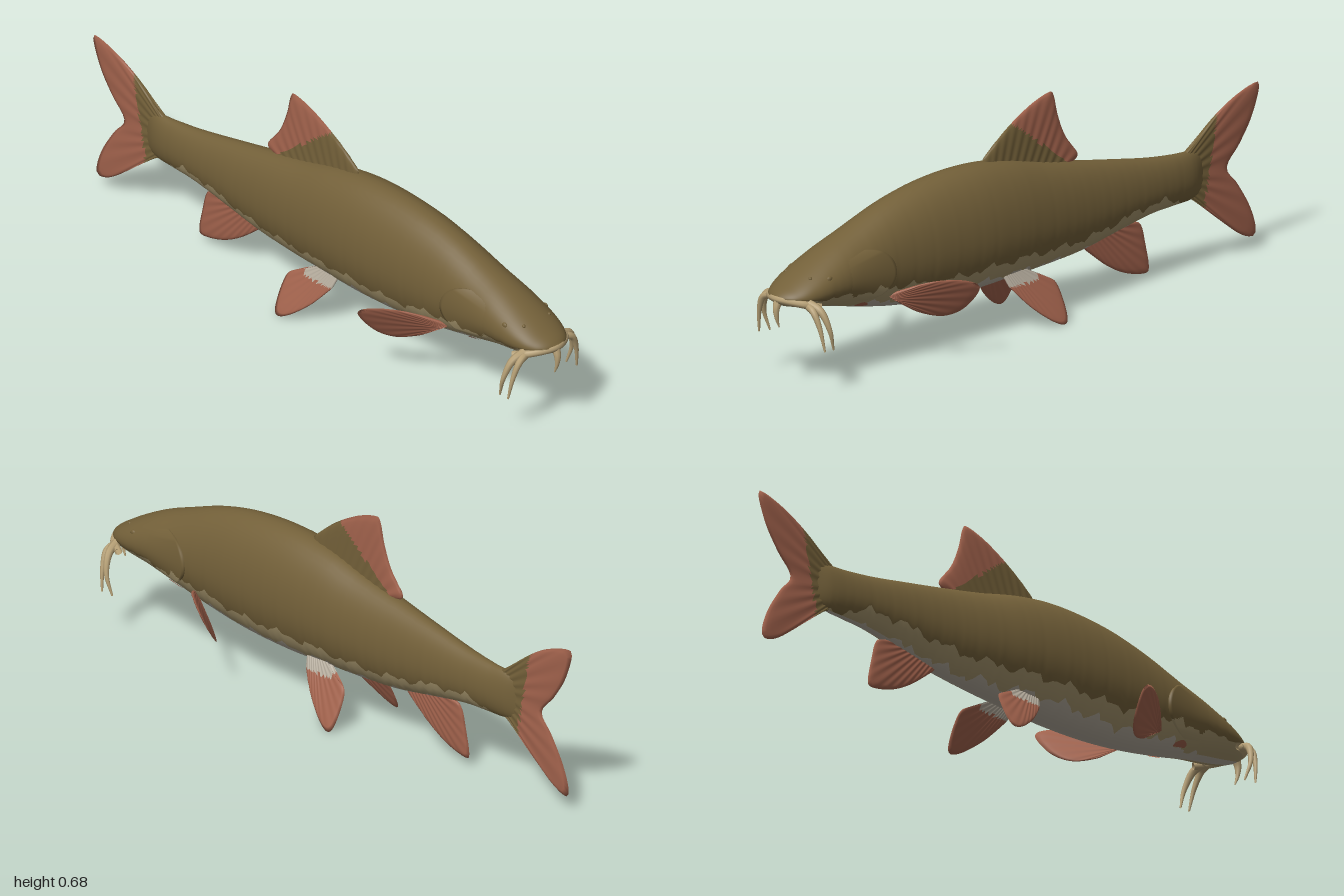
import * as THREE from 'three';
import { mergeVertices } from 'three/addons/utils/BufferGeometryUtils.js';

const paint = (name, color) => {
  const m = new THREE.MeshStandardMaterial({ color, side: THREE.DoubleSide });
  m.name = name;
  return m;
};
const olive = paint('olive back', 0x736039);
const tan = paint('tan flank', 0xa5946c);
const pale = paint('pale belly', 0xb3aa9b);
const red = paint('red fin', 0xa1624c);
const cream = paint('cream barbel', 0xb59f75);

// body sections, tail to nose: z, top y, bottom y, half width, colour border y
const sections = [
  [-0.77, 0.35, 0.23, 0.004, 0.2], [-0.72, 0.365, 0.215, 0.024, 0.205], [-0.65, 0.37, 0.212, 0.036, 0.228],
  [-0.55, 0.382, 0.208, 0.046, 0.252], [-0.4, 0.41, 0.185, 0.06, 0.238], [-0.25, 0.44, 0.16, 0.075, 0.218],
  [-0.1, 0.472, 0.15, 0.092, 0.217], [0.05, 0.51, 0.145, 0.107, 0.226], [0.2, 0.53, 0.14, 0.115, 0.23],
  [0.4, 0.522, 0.148, 0.113, 0.232], [0.55, 0.492, 0.168, 0.106, 0.252], [0.7, 0.44, 0.2, 0.102, 0.265],
  [0.8, 0.402, 0.225, 0.101, 0.272], [0.9, 0.353, 0.244, 0.092, 0.28], [0.95, 0.324, 0.256, 0.073, 0.288],
  [0.98, 0.305, 0.266, 0.046, 0.291], [0.992, 0.294, 0.274, 0.022, 0.288],
];
const profile = new THREE.CubicInterpolant(
  sections.map((s) => s[0]), sections.flatMap((s) => s.slice(1)), 4, new Float32Array(4));

// point on the skin at z and angle t (-90 degrees belly, +90 degrees back)
function skin(z, t, side = 1, lift = 0) {
  const [top, bottom, half] = profile.evaluate(z);
  const mid = bottom + (top - bottom) * 0.46;
  const reach = t > 0 ? top - mid : mid - bottom;
  return new THREE.Vector3(side * (half + lift) * Math.cos(t), mid + (reach + lift) * Math.sin(t), z);
}
// height and angle of the jagged colour border, shifted down by drop
function borderY(z) {
  const jag = 0.008 * Math.sin(z * 41) + 0.007 * Math.sin(z * 97 + 1) + 0.004 * Math.sin(z * 173);
  return profile.evaluate(z)[3] + jag * Math.min(1, Math.max(0, (0.95 - z) * 4));
}
function borderAngle(z, drop) {
  const y = borderY(z) - drop;
  const [top, bottom] = profile.evaluate(z);
  const mid = bottom + (top - bottom) * 0.46;
  const reach = y > mid ? top - mid : mid - bottom;
  return Math.asin(THREE.MathUtils.clamp((y - mid) / reach, -0.97, 0.9));
}

// surface grid, each cell coloured by material index
function grid(nu, nv, point, pick = () => 0) {
  const pos = [], cells = [];
  for (let i = 0; i <= nu; i++) for (let j = 0; j <= nv; j++) pos.push(...point(i / nu, j / nv).toArray());
  for (let i = 0; i < nu; i++) for (let j = 0; j < nv; j++) {
    const a = i * (nv + 1) + j, b = a + 1, c = a + nv + 1, d = c + 1;
    const m = pick(point((i + 0.5) / nu, (j + 0.5) / nv), (j + 0.5) / nv);
    (cells[m] ??= []).push(a, c, b, b, c, d);
  }
  let g = new THREE.BufferGeometry();
  g.setAttribute('position', new THREE.Float32BufferAttribute(pos, 3));
  g.setIndex(cells.flat());
  let start = 0;
  cells.forEach((c, m) => { g.addGroup(start, c.length, m); start += c.length; });
  g = mergeVertices(g, 1e-5);
  g.computeVertexNormals();
  return g;
}

// ribbed fin with a rounded rim, spanning a root line and an outer edge given as [z, y]
function fin(root, edge, thick, place, pick) {
  const curve = (pts) => new THREE.SplineCurve(pts.map((p) => new THREE.Vector2(...p)));
  const inner = curve(root), outer = curve(edge);
  return grid(72, 32, (u, v) => {
    const w = Math.abs(v * 2 - 1);
    const p = outer.getPointAt(u).lerp(inner.getPointAt(u), w);
    const rim = Math.sqrt(1 - (1 - w) ** 5) * Math.sqrt(Math.min(1, Math.max(0, Math.sin(Math.PI * u)) * 6));
    return place(p.x, p.y, thick * rim * (0.75 + 0.25 * w) * (1 + 0.12 * Math.sin(u * 75)) * Math.sign(v - 0.5));
  }, pick);
}
const upright = (z, y, t) => new THREE.Vector3(t, y, z);

// tube narrowing to a tip
function taper(points, r0, r1) {
  const curve = new THREE.CatmullRomCurve3(points.map((p) => new THREE.Vector3(...p)));
  const n = 20, g = new THREE.TubeGeometry(curve, n, 1, 8);
  const p = g.attributes.position, v = new THREE.Vector3();
  for (let k = 0; k < p.count; k++) {
    const s = Math.floor(k / 9) / n, c = curve.getPointAt(s);
    v.fromBufferAttribute(p, k).sub(c).multiplyScalar(r0 + (r1 - r0) * s).add(c);
    p.setXYZ(k, v.x, v.y, v.z);
  }
  return g;
}

export function createModel() {
  const model = new THREE.Group();
  model.name = 'fish';
  const add = (name, geo, mat) => {
    const m = new THREE.Mesh(geo, mat);
    m.name = name;
    model.add(m);
    return m;
  };

  // body: belly, flank band and back share one smooth skin
  const half = 24, band = 0.05;
  add('body', grid(170, half * 2, (u, v) => {
    const z = 0.1115 + 0.8805 * Math.cos(Math.PI * u);
    const k = (1 - Math.abs(v * 2 - 1)) * half;
    if (u === 0 || u === 1) return new THREE.Vector3(0, u ? 0.29 : 0.284, u ? -0.775 : 0.996);
    const t1 = borderAngle(z, band), t2 = Math.max(borderAngle(z, 0), t1 + 0.01), low = -Math.PI / 2;
    const t = k <= 6 ? low + (t1 - low) * k / 6
      : k <= 9 ? t1 + (t2 - t1) * (k - 6) / 3
      : t2 + (Math.PI / 2 - t2) * (k - 9) / (half - 9);
    return skin(z, t, v <= 0.5 ? 1 : -1);
  }, (p, v) => {
    const k = (1 - Math.abs(v * 2 - 1)) * half;
    return k < 6 ? 0 : k < 9 ? 1 : 2;
  }), [pale, tan, olive]);

  for (const s of [1, -1]) {
    const side = s > 0 ? 'left' : 'right';

    // gill cover with a raised rear edge
    add(side + 'GillCover', grid(20, 48, (u, v) => {
      const t = -0.8 + 1.5 * v;
      const zEdge = 0.6 + 0.1 * ((t + 0.05) / 0.75) ** 2;
      const lift = u === 1 ? -0.004 : 0.009 * u * Math.min(1, Math.sin(Math.PI * v) * 2) - 0.0005;
      return skin(0.78 + (zEdge - 0.78) * Math.min(1, u * 20 / 19), t, s, lift);
    }, (p) => {
      const depth = borderY(p.z) - p.y;
      return depth < 0 ? 0 : depth < band ? 1 : 2;
    }), [olive, tan, pale]);

    // gill slit showing red under the throat
    add(side + 'GillSlit', grid(6, 6, (u, v) =>
      skin(0.72 - 0.05 * u, -1.08 + 0.25 * v * Math.sin(Math.PI * (0.15 + 0.7 * u)), s, 0.003)), red);

    // eye and nostril
    const eye = add(side + 'Eye', new THREE.SphereGeometry(0.011, 14, 10), olive);
    eye.position.copy(skin(0.85, 0.5, s, -0.004));
    eye.scale.set(0.6, 0.8, 1);
    const nostril = add(side + 'Nostril', new THREE.SphereGeometry(0.006, 10, 8), olive);
    nostril.position.copy(skin(0.9, 0.95, s, -0.002));

    // two barbels at the mouth corner
    add(side + 'OuterBarbel', taper([[s * 0.078, 0.275, 0.93], [s * 0.118, 0.258, 0.92],
      [s * 0.142, 0.2, 0.905], [s * 0.137, 0.135, 0.885]], 0.015, 0.003), cream);
    add(side + 'InnerBarbel', taper([[s * 0.075, 0.272, 0.935], [s * 0.108, 0.258, 0.94],
      [s * 0.13, 0.21, 0.935], [s * 0.142, 0.138, 0.925]], 0.013, 0.003), cream);

    // paired fins, the pelvic pair with a pale base
    add(side + 'PectoralFin', fin([[0.6, 0.225], [0.585, 0.212], [0.565, 0.2]],
      [[0.575, 0.24], [0.5, 0.268], [0.42, 0.266], [0.372, 0.235], [0.385, 0.165], [0.43, 0.138], [0.5, 0.158], [0.545, 0.19]],
      0.008, (z, y, t) => new THREE.Vector3(s * (0.08 + (0.58 - z) * 0.68 + (y - 0.22) * 0.6 + t), y, z)), red);
    add(side + 'PelvicFin', fin([[0.115, 0.19], [0.07, 0.19], [0.03, 0.19]],
      [[0.1, 0.14], [0.04, 0.07], [-0.03, 0.015], [-0.075, 0.002], [-0.09, 0.04], [-0.086, 0.11], [-0.06, 0.135], [0, 0.152]],
      0.007, (z, y, t) => new THREE.Vector3(s * (0.066 + (0.15 - y) * 0.48 + t), y, z),
      (p) => (p.y > 0.138 && p.z > -0.02 ? 1 : 0)), [red, pale]);
  }

  // upper lip and centre barbel
  add('upperLip', new THREE.TubeGeometry(new THREE.CatmullRomCurve3(
    [[-0.098, 0.262, 0.9], [-0.07, 0.276, 0.95], [0, 0.285, 0.985], [0.07, 0.276, 0.95], [0.098, 0.262, 0.9]]
      .map((p) => new THREE.Vector3(...p))), 32, 0.012, 8), cream);
  add('centreBarbel', taper([[0, 0.28, 0.982], [0, 0.255, 0.99], [0, 0.225, 0.988], [0, 0.195, 0.978]], 0.014, 0.002), cream);

  // dorsal fin: olive base and red rear
  add('dorsalFin', fin([[0.14, 0.515], [0.03, 0.49], [-0.1, 0.455], [-0.2, 0.435]],
    [[0.14, 0.53], [0.05, 0.6], [-0.05, 0.655], [-0.13, 0.68], [-0.152, 0.668], [-0.17, 0.6], [-0.2, 0.53], [-0.25, 0.465], [-0.24, 0.445]],
    0.01, upright, (p) => (p.z < 0.02 && p.y > 0.6 + p.z * 0.75 ? 0 : 1)), [red, olive]);

  // forked tail fin with an olive root
  add('tailFin', fin([[-0.69, 0.365], [-0.7, 0.29], [-0.69, 0.22]],
    [[-0.72, 0.378], [-0.8, 0.44], [-0.88, 0.488], [-0.97, 0.518], [-1, 0.508], [-0.97, 0.42], [-0.92, 0.345], [-0.866, 0.28],
      [-0.91, 0.22], [-0.96, 0.14], [-0.985, 0.07], [-0.975, 0.042], [-0.92, 0.06], [-0.83, 0.13], [-0.77, 0.195], [-0.72, 0.213]],
    0.009, upright, (p) => (p.z > -0.77 - 0.2 * Math.max(0, p.y - 0.2) ? 1 : 0)), [red, olive]);

  // anal fin
  add('analFin', fin([[-0.26, 0.175], [-0.34, 0.19], [-0.43, 0.205]],
    [[-0.28, 0.155], [-0.37, 0.085], [-0.45, 0.043], [-0.53, 0.025], [-0.545, 0.045], [-0.53, 0.12], [-0.515, 0.175], [-0.49, 0.195], [-0.43, 0.2]],
    0.008, upright), red);

  return model;
}
